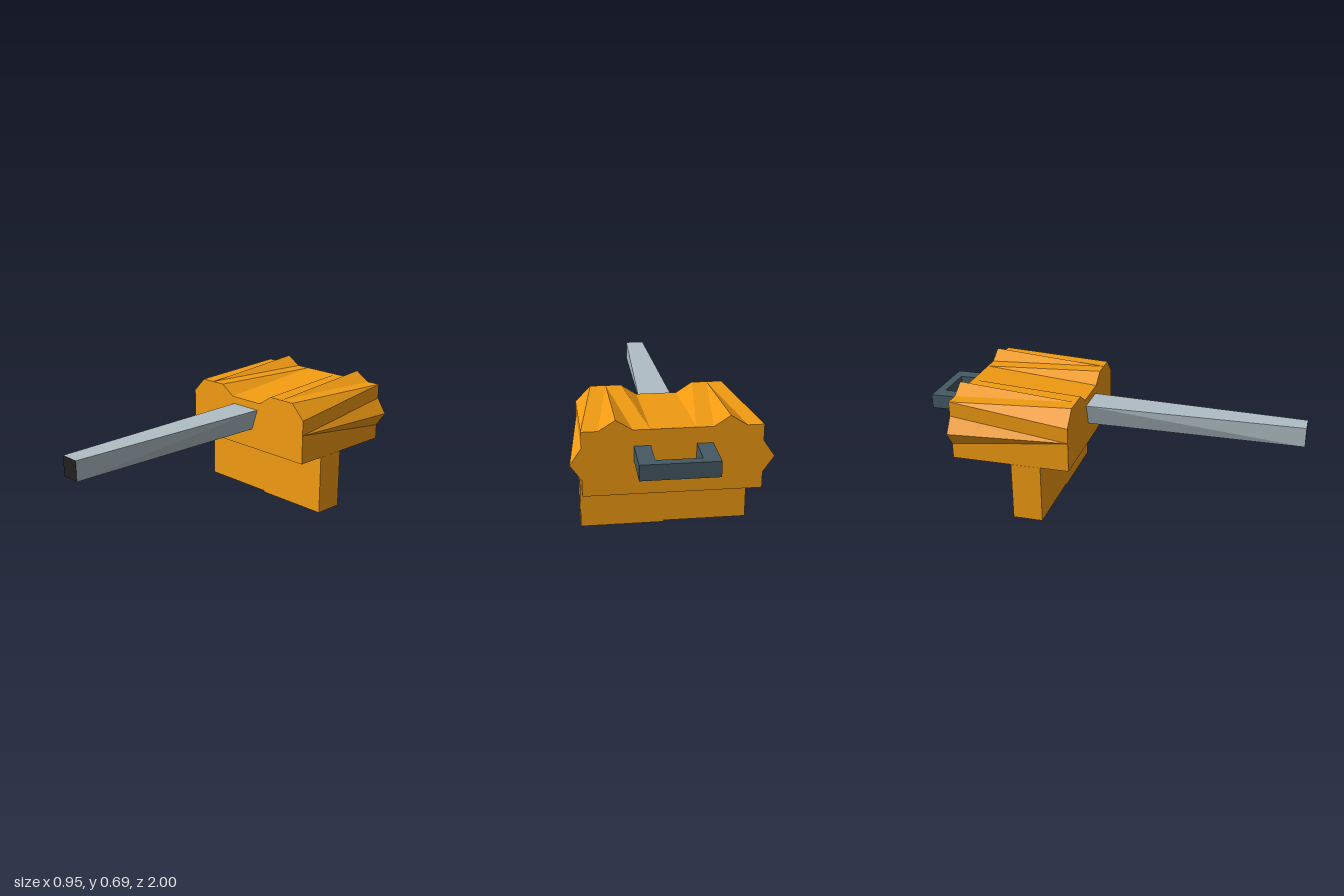
import * as THREE from 'three';

const mat = (color) => new THREE.MeshStandardMaterial({ color, flatShading: true });
const orange = mat(0xf39c12), steel = mat(0xb0bec5), slate = mat(0x455a64), black = mat(0x212121);

// Mirror the +x half of a counter-clockwise outline
const mirrored = (half) => [...half, ...half.slice().reverse().map(([x, y]) => [-x, y])];

// Skin between two outlines; forward(i) picks the diagonal of each quad
function loft(front, back, zf, zb, forward) {
  const pos = [], n = front.length;
  for (let i = 0; i < n; i++) {
    const j = (i + 1) % n;
    const Fi = [...front[i], zf], Fj = [...front[j], zf], Bi = [...back[i], zb], Bj = [...back[j], zb];
    const pinched = Fi[0] === Fj[0] && Fi[1] === Fj[1];
    if (pinched) pos.push(...Bi, ...Bj, ...Fj);
    else if (forward(i)) pos.push(...Fi, ...Bi, ...Bj, ...Fi, ...Bj, ...Fj);
    else pos.push(...Fi, ...Bi, ...Fj, ...Bi, ...Bj, ...Fj);
  }
  const geo = new THREE.BufferGeometry();
  geo.setAttribute('position', new THREE.Float32BufferAttribute(pos, 3));
  geo.computeVertexNormals();
  return geo;
}

// Flat end face from an outline, without repeated points
function cap(points) {
  const unique = points.filter(([x, y], i) => !i || x !== points[i - 1][0] || y !== points[i - 1][1]);
  return new THREE.ShapeGeometry(new THREE.Shape(unique.map(([x, y]) => new THREE.Vector2(x, y))));
}

export function createModel() {
  const group = new THREE.Group();
  const add = (parent, name, geo, material, x = 0, y = 0, z = 0) => {
    const mesh = new THREE.Mesh(geo, material);
    mesh.name = name;
    mesh.position.set(x, y, z);
    parent.add(mesh);
    return mesh;
  };
  const part = (name) => {
    const g = new THREE.Group();
    g.name = name;
    group.add(g);
    return g;
  };

  // Body: plain dipped front outline flaring into ridges and side points at the back
  const zf = -0.153, zb = -0.787;
  const front = mirrored([[0.42, 0.322], [0.42, 0.48], [0.42, 0.48], [0.42, 0.48], [0.42, 0.56],
    [0.342, 0.64], [0.263, 0.64], [0.185, 0.64], [0.105, 0.587]]);
  const back = mirrored([[0.42, 0.322], [0.42, 0.402], [0.474, 0.48], [0.42, 0.56], [0.42, 0.64],
    [0.342, 0.64], [0.263, 0.69], [0.185, 0.64], [0.105, 0.64]]);
  const body = part('body');
  add(body, 'bodyShell', loft(front, back, zf, zb, (i) => (i >= 6 && i <= 8) || i >= 11), orange);
  add(body, 'bodyFront', cap(front), orange, 0, 0, zf);
  add(body, 'bodyBack', cap(back), orange, 0, 0, zb).rotation.y = Math.PI;

  // Lower block in two halves, one slightly shorter
  const base = part('base');
  for (const [name, side, bottom] of [['baseLeft', 1, 0], ['baseRight', -1, 0.008]]) {
    const h = 0.322 - bottom;
    add(base, name, new THREE.BoxGeometry(0.421, h, 0.16), orange, side * 0.2105, bottom + h / 2, -0.386);
  }

  // Tapering bar, wider along its top where it meets the body
  const tip = mirrored([[0.052, 0.43], [0.052, 0.535]]);
  const root = mirrored([[0.052, 0.43], [0.09, 0.547]]);
  const bar = part('bar');
  add(bar, 'barSides', loft(tip, root, 1, zf, (i) => i === 0), steel, -0.002);
  add(bar, 'barTip', cap(tip), black, -0.002, 0, 1);

  // U-shaped rear handle
  const handle = part('rearHandle');
  add(handle, 'handleGrip', new THREE.BoxGeometry(0.365, 0.076, 0.047), slate, -0.002, 0.523, -0.9765);
  for (const side of [-1, 1])
    add(handle, 'handleArm', new THREE.BoxGeometry(0.077, 0.076, 0.166), slate, -0.002 + side * 0.144, 0.523, -0.87);

  return group;
}
